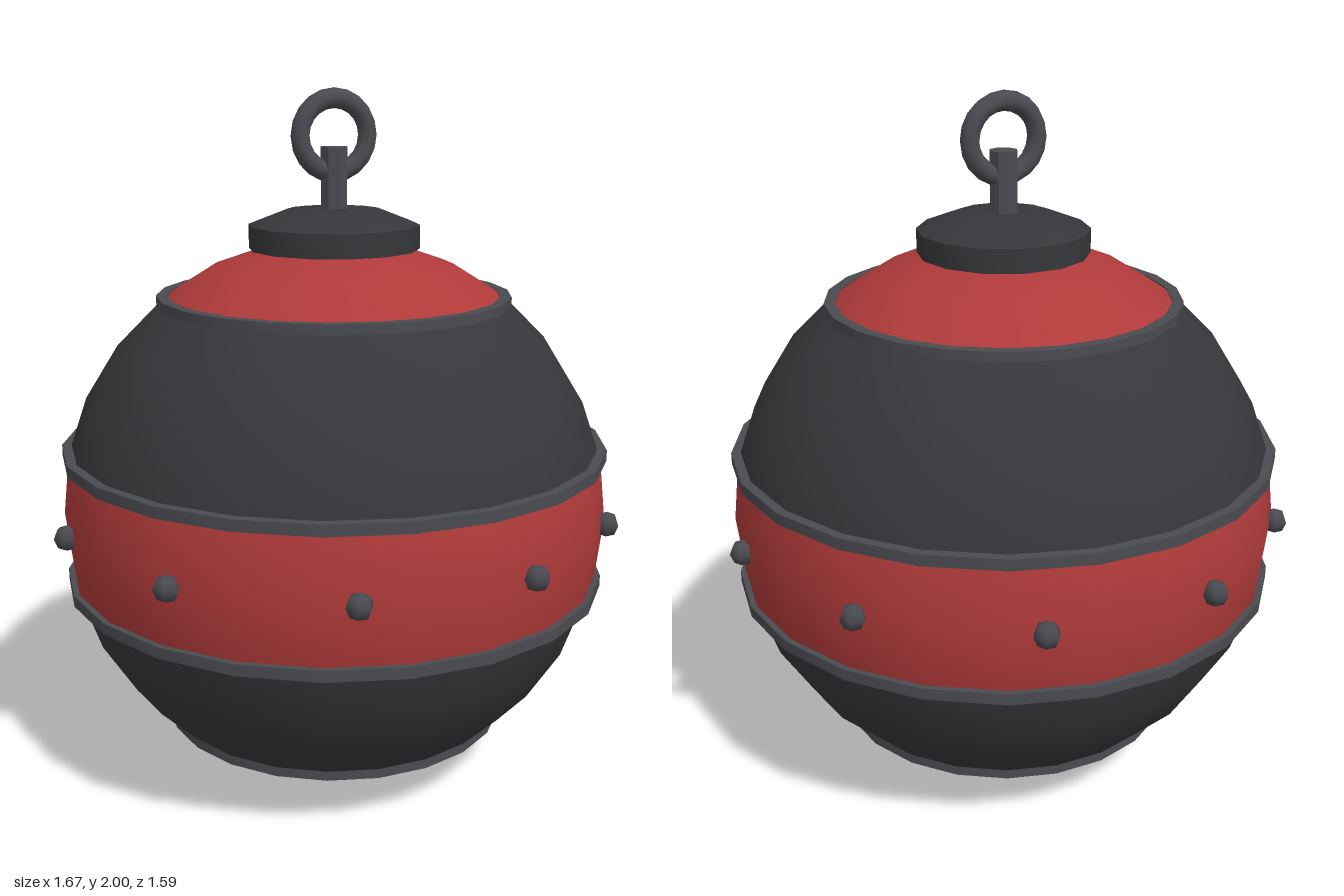
import * as THREE from 'three';
import { toCreasedNormals } from 'three/addons/utils/BufferGeometryUtils.js';

const red = new THREE.MeshStandardMaterial({ color: 0xb03a3a });
const dark = new THREE.MeshStandardMaterial({ color: 0x36373a });
const trim = new THREE.MeshStandardMaterial({ color: 0x4a4b50 });

const SIDES = 22, ROWS = 14, R = 0.793, CY = 0.795;

export function createModel() {
  const model = new THREE.Group();
  const add = (name, geometry, material, x = 0, y = 0, z = 0) => {
    const mesh = new THREE.Mesh(geometry, material);
    mesh.name = name;
    mesh.position.set(x, y, z);
    model.add(mesh);
    return mesh;
  };
  // Lathe with a corner on the x axis and sharp profile edges
  const turned = (profile, sides) => toCreasedNormals(new THREE.LatheGeometry(
    profile.map(([r, y]) => new THREE.Vector2(r, y)), sides, Math.PI / 2), 0.6);

  // Ball, in coloured bands of whole rows
  const step = Math.PI / ROWS;
  [['topBand', 0, 3, red], ['upperBand', 3, 6, dark], ['middleBand', 6, 8, red],
    ['lowerBand', 8, 11, dark], ['bottomBand', 11, 14, red]].forEach(([name, from, to, material]) => {
    add(name, new THREE.SphereGeometry(R, SIDES, to - from, 0, Math.PI * 2,
      from * step, (to - from) * step), material, 0, CY, 0);
  });

  // Flat trim hoops over the joints, mirrored above and below
  for (const [offset, outer, inner] of [[0.62, 0.506, 0.475], [0.19, 0.79, 0.755]]) {
    const h = 0.016;
    const hoop = turned([[inner, -h], [outer, -h], [outer, h], [inner, h], [inner, -h]], SIDES);
    add('upperHoop', hoop, trim, 0, CY + offset, 0);
    add('lowerHoop', hoop, trim, 0, CY - offset, 0);
  }

  // Studs around the middle
  const studGeometry = new THREE.SphereGeometry(0.037, 6, 4);
  for (let i = 0; i < 10; i++) {
    const a = i * Math.PI / 5;
    add('stud', studGeometry, trim, 0.8 * Math.cos(a), CY, 0.8 * Math.sin(a));
  }

  // Domed cap, stem and hanging ring
  add('cap', turned([[0, 1.558], [0.243, 1.558], [0.243, 1.625], [0.135, 1.667], [0, 1.672]], 14), dark);
  add('stem', turned([[0, 1.64], [0.04, 1.64], [0.04, 1.84], [0, 1.84]], 8), trim);
  add('hangingRing', new THREE.TorusGeometry(0.101, 0.028, 8, 20), trim, 0, 1.871, 0);

  return model;
}
